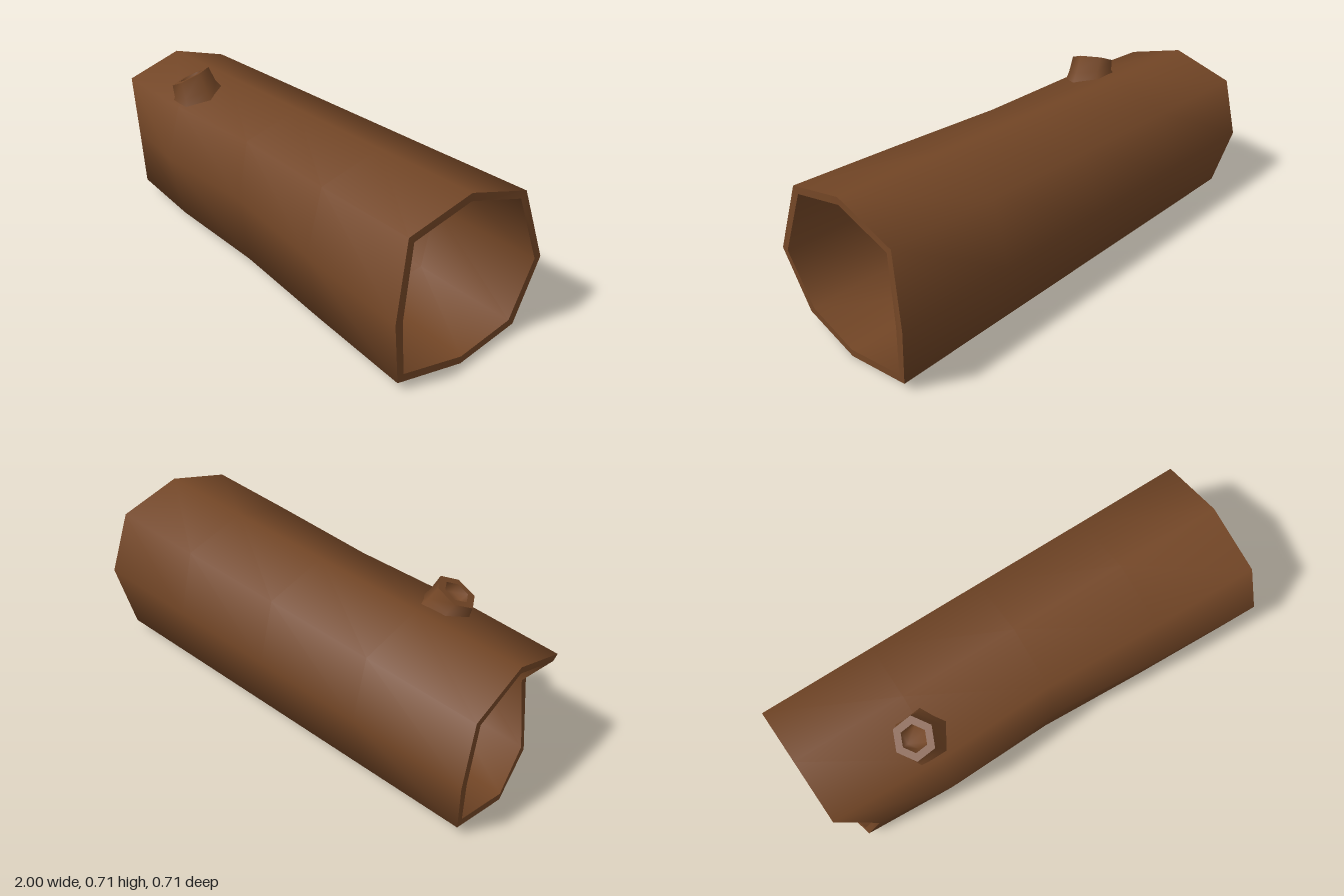
import * as THREE from 'three';

// Skin a series of closed rings with smooth normals
function loft(rings, cap = false) {
  const n = rings[0].length, pos = [], idx = [];
  rings.forEach(r => r.forEach(p => pos.push(p.x, p.y, p.z)));
  for (let i = 0; i < rings.length - 1; i++) {
    for (let j = 0; j < n; j++) {
      const k = (j + 1) % n, a = i * n + j, b = i * n + k, c = b + n, d = a + n;
      idx.push(a, b, c, a, c, d);
    }
  }
  if (cap) {
    const s = (rings.length - 1) * n;
    for (let j = 1; j < n - 1; j++) idx.push(s, s + j, s + j + 1);
  }
  const g = new THREE.BufferGeometry();
  g.setAttribute('position', new THREE.Float32BufferAttribute(pos, 3));
  g.setIndex(idx);
  g.computeVertexNormals();
  return g;
}

// Hexagonal ring around an axis
function hexRing(center, axis, r) {
  const a = new THREE.Vector3(...axis).normalize();
  const v = new THREE.Vector3(0, 0, 1).cross(a).negate().cross(a).normalize();
  const u = v.clone().cross(a);
  return Array.from({ length: 6 }, (_, i) => {
    const t = (i / 6) * Math.PI * 2;
    return new THREE.Vector3(...center).addScaledVector(u, r * Math.cos(t)).addScaledVector(v, r * Math.sin(t));
  });
}

export function createModel() {
  const group = new THREE.Group();
  const bark = new THREE.MeshStandardMaterial({ color: 0x734626 });
  bark.name = 'bark brown';
  const add = (name, geometry, parent) => {
    const m = new THREE.Mesh(geometry, bark);
    m.name = name;
    parent.add(m);
  };

  // Octagonal end sections [z, y], from the top round the front
  const left = [[0, 0.64], [0.265, 0.56], [0.325, 0.35], [0.262, 0.055], [0, 0.005], [-0.262, 0.05], [-0.325, 0.31], [-0.265, 0.56]];
  const right = [[0, 0.69], [0.28, 0.618], [0.355, 0.333], [0.29, 0.04], [0, 0], [-0.29, 0.04], [-0.355, 0.333], [-0.28, 0.61]];
  // Ragged broken ends
  const leftX = [-0.97, -0.96, -0.82, -0.89, -0.96, -0.96, -1, -0.99];
  const rightX = [0.96, 0.96, 1, 0.96, 0.98, 0.965, 1, 0.96];
  const dent = [-0.022, 0, -0.045, -0.014, 0];
  const dentWeight = [0, 0.5, 1, 0.5, 0, 0, 0, 0];

  const section = (i, inside) => left.map((l, j) => {
    const x = i === 0 ? leftX[j] : i === 4 ? rightX[j] : -1 + i * 0.5;
    const t = (x + 1) / 2;
    const middle = i > 0 && i < 4;
    const push = dent[i] * dentWeight[j] * (inside && middle ? 0.4 : 1);
    let z = THREE.MathUtils.lerp(l[0], right[j][0], i === 4 ? 1 : i === 0 ? 0 : t) + push;
    let y = THREE.MathUtils.lerp(l[1], right[j][1], i === 4 ? 1 : i === 0 ? 0 : t);
    if (inside) {
      z *= 0.91;
      y = 0.34 + (y - 0.34) * 0.91;
    }
    return new THREE.Vector3(x, y, z);
  });
  const outer = [0, 1, 2, 3, 4].map(i => section(i, false));
  const inner = [0, 1, 2, 3, 4].map(i => section(i, true));

  // Hollow trunk
  const trunk = new THREE.Group();
  trunk.name = 'hollowTrunk';
  add('outerBark', loft(outer), trunk);
  add('innerWall', loft([...inner].reverse()), trunk);
  add('leftRim', loft([inner[0], outer[0]]), trunk);
  add('rightRim', loft([outer[4], inner[4]]), trunk);
  group.add(trunk);

  // Broken branch stub with a shallow hollow tip
  const stub = new THREE.Group();
  stub.name = 'branchStub';
  const tilt = [-0.4, 0.87, 0.25], tip = [-0.55, 0.677, 0.172];
  const lip = hexRing(tip, tilt, 0.088), mouth = hexRing(tip, tilt, 0.055);
  add('stubBark', loft([
    hexRing([-0.515, 0.58, 0.155], [0, 0.95, 0.29], 0.125),
    hexRing([-0.528, 0.625, 0.165], [-0.2, 0.92, 0.28], 0.096),
    lip,
  ]), stub);
  add('stubRim', loft([lip, mouth]), stub);
  add('stubHollow', loft([mouth, hexRing([-0.535, 0.645, 0.164], tilt, 0.045)], true), stub);
  group.add(stub);

  return group;
}
